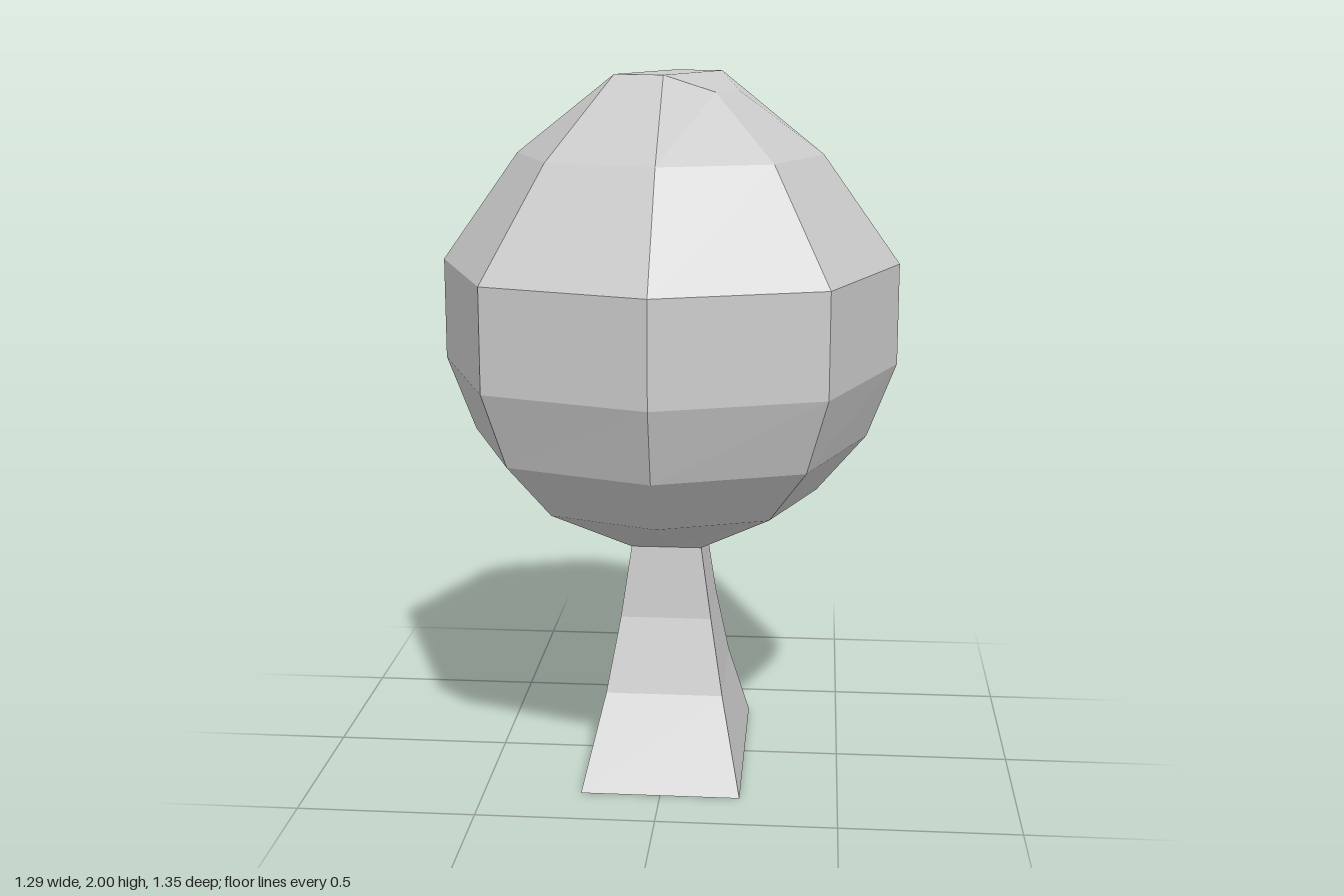
import * as THREE from 'three';

// Skins a stack of rings (bottom to top, each counter-clockwise seen from above)
// and closes both ends; topFaces lists the quads of the upper cap.
function loft(rings, topFaces) {
  const pos = [];
  const n = rings[0].length;
  const quad = (a, b, c, d) => [a, b, c, a, c, d].forEach(p => pos.push(...p));
  for (let r = 0; r < rings.length - 1; r++) {
    for (let i = 0; i < n; i++) {
      const j = (i + 1) % n;
      quad(rings[r][i], rings[r][j], rings[r + 1][j], rings[r + 1][i]);
    }
  }
  const bottom = rings[0], top = rings[rings.length - 1];
  for (let i = 1; i < n - 1; i++) pos.push(...bottom[0], ...bottom[i + 1], ...bottom[i]);
  topFaces.forEach(f => quad(...f.map(i => top[i])));
  const g = new THREE.BufferGeometry();
  g.setAttribute('position', new THREE.Float32BufferAttribute(pos, 3));
  g.computeVertexNormals();
  return g;
}

// Rectangle of half sizes x, z
const rect = (y, x, z) => [[x, y, z], [x, y, -z], [-x, y, -z], [-x, y, z]];

// Eight-sided ring: half sizes on the axes (x, z) and diagonal corners (dx, dz)
const octagon = (y, x, z, dx, dz) => [
  [0, y, z], [dx, y, dz], [x, y, 0], [dx, y, -dz],
  [0, y, -z], [-dx, y, -dz], [-x, y, 0], [-dx, y, dz],
];

export function createModel() {
  const group = new THREE.Group();
  const material = new THREE.MeshStandardMaterial({ color: 0xcccccc, flatShading: true });
  const add = (name, geometry) => {
    const mesh = new THREE.Mesh(geometry, material);
    mesh.name = name;
    group.add(mesh);
  };

  // Trunk, flaring towards the ground
  add('trunk', loft([
    rect(0, 0.225, 0.335),
    rect(0.25, 0.167, 0.195),
    rect(0.46, 0.13, 0.132),
    rect(0.667, 0.1, 0.112),
  ], [[0, 1, 2, 3]]));

  // Crown, with a diagonal flat ridge on top and two lowered flanks
  const tip = octagon(2, 0.19, 0.202, 0.137, 0.153);
  [1, 2, 5, 6].forEach(i => { tip[i][1] = 1.953; });
  add('crown', loft([
    octagon(0.667, 0.1, 0.112, 0.1, 0.112),
    octagon(0.817, 0.425, 0.448, 0.298, 0.335),
    octagon(0.98, 0.565, 0.597, 0.398, 0.45),
    octagon(1.19, 0.646, 0.673, 0.453, 0.51),
    octagon(1.475, 0.646, 0.673, 0.453, 0.51),
    octagon(1.778, 0.429, 0.448, 0.301, 0.34),
    tip,
  ], [[0, 1, 2, 3], [0, 3, 4, 7], [4, 5, 6, 7]]));

  return group;
}
